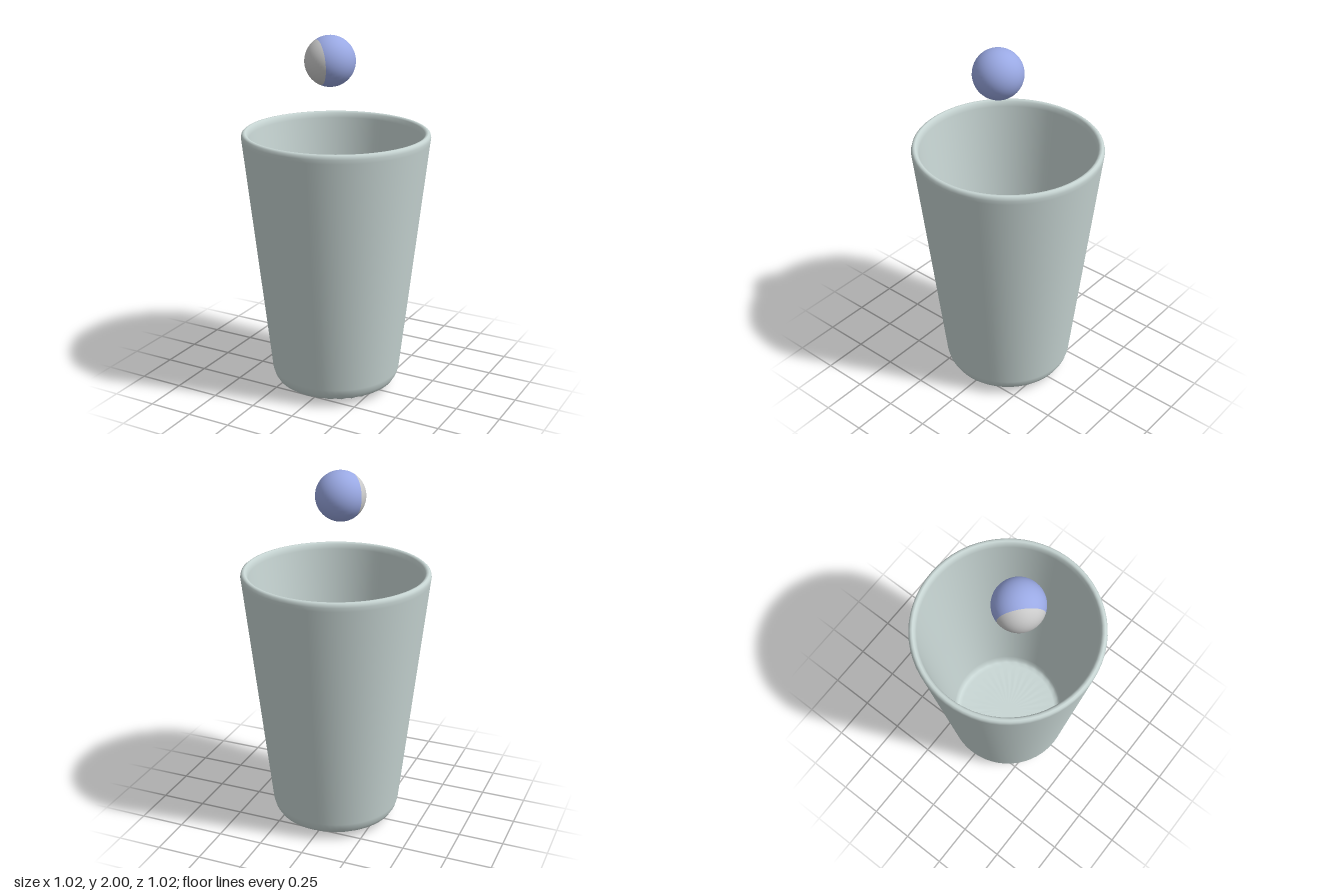
import * as THREE from 'three';
import { mergeVertices } from 'three/addons/utils/BufferGeometryUtils.js';

const SEGMENTS = 64;

// Closed cup profile (radius, height): underside, outer wall, rolled rim, inner wall, floor
const PROFILE = [
  [0, 0], [0.15, 0.014], [0.28, 0.027], [0.31, 0.035], [0.335, 0.05], [0.35, 0.075], [0.36, 0.11],
  [0.435, 0.78], [0.508, 1.43], [0.511, 1.452], [0.507, 1.468], [0.498, 1.475],
  [0.488, 1.475], [0.478, 1.467], [0.47, 1.44], [0.4, 0.78], [0.332, 0.14],
  [0.325, 0.105], [0.312, 0.088], [0.29, 0.082], [0.15, 0.08], [0, 0.08],
];

function cupGeometry() {
  const lathe = new THREE.LatheGeometry(PROFILE.map(([r, y]) => new THREE.Vector2(r, y)), SEGMENTS);
  const pos = lathe.attributes.position;
  // Faint radial pleats around the edges of the underside and the floor
  for (let i = 0; i < pos.count; i++) {
    const r = Math.hypot(pos.getX(i), pos.getZ(i));
    if (pos.getY(i) < 0.09 && r > 0.27 && r < 0.313) {
      const column = Math.floor(i / PROFILE.length);
      pos.setY(i, pos.getY(i) + (column % 2 ? 0.003 : -0.003));
    }
  }
  // Weld the seam so the shading is smooth all round
  lathe.deleteAttribute('uv');
  lathe.deleteAttribute('normal');
  const welded = mergeVertices(lathe, 1e-4);
  welded.computeVertexNormals();
  return welded;
}

export function createModel() {
  const model = new THREE.Group();
  const add = (parent, name, geometry, color, options = {}) => {
    const mesh = new THREE.Mesh(geometry, new THREE.MeshStandardMaterial({ color, ...options }));
    mesh.name = name;
    parent.add(mesh);
  };

  add(model, 'cup', cupGeometry(), 0xc8d6d4, { side: THREE.DoubleSide });

  // Two-tone ball floating above the cup, its grey cap turned to the front
  const ball = new THREE.Group();
  ball.name = 'ball';
  const radius = 0.135, split = Math.acos(0.47);
  add(ball, 'ballCap', new THREE.SphereGeometry(radius, 40, 12, 0, Math.PI * 2, 0, split), 0xcccccc);
  add(ball, 'ballBody', new THREE.SphereGeometry(radius, 40, 20, 0, Math.PI * 2, split, Math.PI - split), 0x9aa9e4);
  ball.position.set(0, 1.865, 0.065);
  ball.quaternion.setFromUnitVectors(
    new THREE.Vector3(0, 1, 0), new THREE.Vector3(-0.676, -0.06, 0.737).normalize());
  model.add(ball);

  return model;
}
